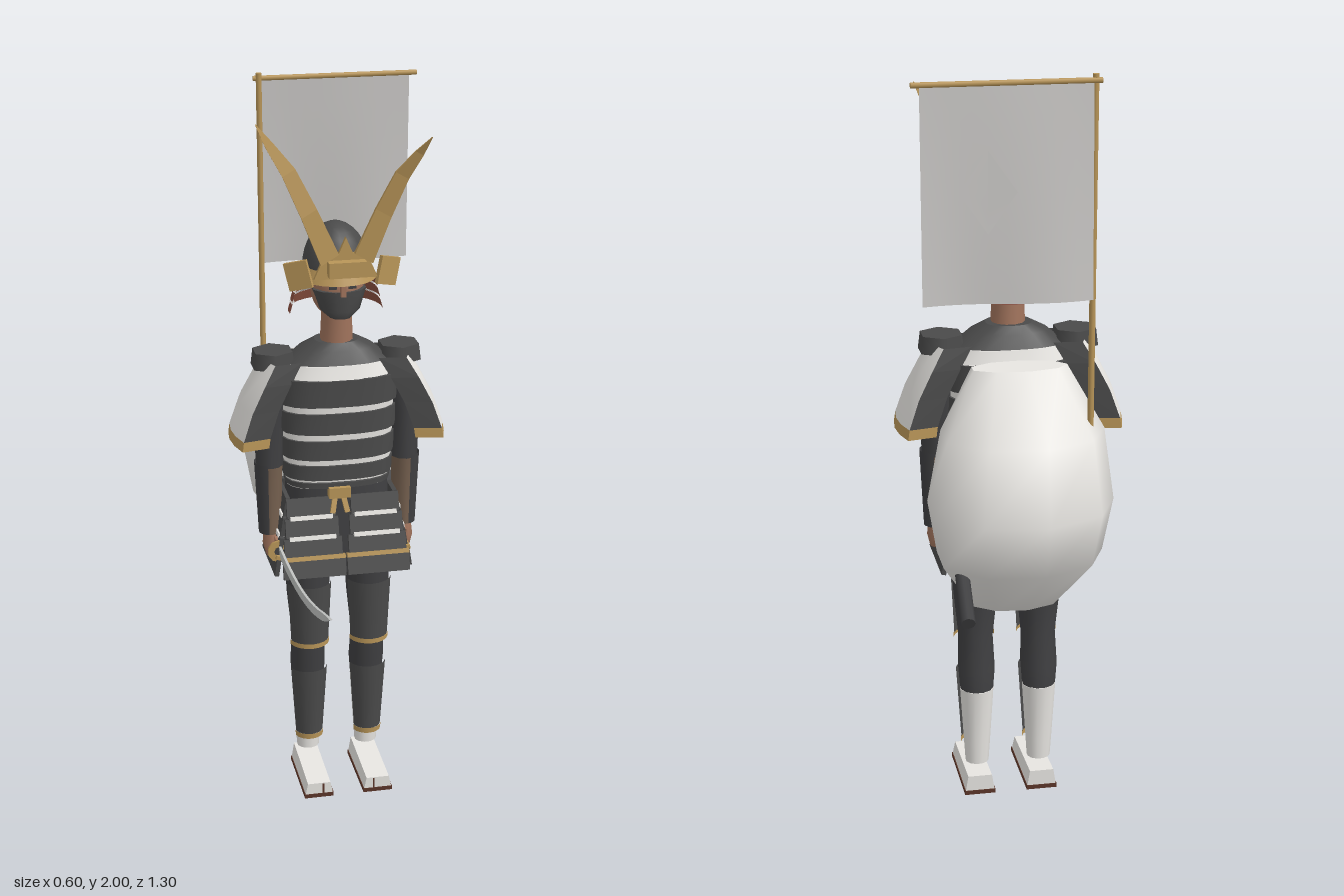
import * as THREE from 'three';

const mat = (name, color) => {
  const m = new THREE.MeshStandardMaterial({ color, side: THREE.DoubleSide });
  m.name = name;
  return m;
};

export function createModel() {
  const armour = mat('dark armour', 0x4a4a4a);
  const cloth = mat('dark cloth', 0x404042);
  const white = mat('white cloth', 0xe8e6e2);
  const gold = mat('old gold', 0xb89558);
  const skin = mat('skin', 0xa0735c);
  const brown = mat('red brown lacquer', 0x8a5040);
  const sole = mat('sole brown', 0x5a3528);
  const steel = mat('steel', 0xc4c6c4);
  const sleeve = mat('sleeve brown', 0x75604f);
  const banner = mat('banner grey', 0xcac8c6);

  const root = new THREE.Group();
  const add = (name, geo, m, pos = [0, 0, 0], rot = [0, 0, 0], parent = root) => {
    const mesh = new THREE.Mesh(geo, m);
    mesh.name = name;
    mesh.position.set(...pos);
    mesh.rotation.set(...rot);
    parent.add(mesh);
    return mesh;
  };
  const box = (w, h, d, segments = 1) => new THREE.BoxGeometry(w, h, d, 1, 1, segments);

  const buildGeo = (pos, idx, flat) => {
    let g = new THREE.BufferGeometry();
    g.setAttribute('position', new THREE.Float32BufferAttribute(pos, 3));
    g.setIndex(idx);
    if (flat) g = g.toNonIndexed();
    g.computeVertexNormals();
    return g;
  };

  // Closed rings from bottom to top: [y, halfWidth, halfDepth, x, z]; e < 1 squares them off
  const loft = (rings, n = 12, e = 1) => {
    const pos = [], idx = [];
    const pw = (v) => Math.sign(v) * Math.abs(v) ** e;
    const ring = ([y, a, b, x, z]) => {
      for (let i = 0; i < n; i++) {
        const t = ((i + 0.5) / n) * Math.PI * 2;
        pos.push(x + a * pw(Math.cos(t)), y, z + b * pw(Math.sin(t)));
      }
    };
    rings.forEach(ring);
    for (let j = 0; j < rings.length - 1; j++) for (let i = 0; i < n; i++) {
      const a = j * n + i, b = j * n + (i + 1) % n, c = a + n, d = b + n;
      idx.push(a, c, b, b, c, d);
    }
    [rings[0], rings[rings.length - 1]].forEach((r, k) => {
      const s = pos.length / 3;
      ring(r);
      pos.push(r[3], r[0], r[4]);
      for (let i = 0; i < n; i++) {
        const p = s + i, q = s + (i + 1) % n;
        if (k) idx.push(p, s + n, q);
        else idx.push(p, q, s + n);
      }
    });
    return buildGeo(pos, idx, false);
  };

  // Open sheet from rows of points
  const patch = (rows, flat = false) => {
    const n = rows[0].length, idx = [];
    for (let j = 0; j < rows.length - 1; j++) for (let i = 0; i < n - 1; i++) {
      const a = j * n + i;
      idx.push(a, a + n, a + 1, a + 1, a + n, a + n + 1);
    }
    return buildGeo(rows.flat(2), idx, flat);
  };

  // Straight rod between two points
  const rod = (name, a, b, r, m) => {
    const A = new THREE.Vector3(...a), B = new THREE.Vector3(...b), d = B.clone().sub(A);
    const mesh = add(name, new THREE.CylinderGeometry(r, r, d.length(), 8), m);
    mesh.position.copy(A).add(B).multiplyScalar(0.5);
    mesh.quaternion.setFromUnitVectors(new THREE.Vector3(0, 1, 0), d.normalize());
  };

  // Cuirass: dark lames with white lacing between them
  const Z = -0.165;
  add('cuirassCore', loft([[0.92, 0.143, 0.08, 0, Z], [1.0, 0.152, 0.09, 0, Z], [1.24, 0.163, 0.1, 0, Z]], 20, 0.75), white);
  [[0.925, 0.94, 0.146], [0.95, 0.992, 0.153], [1.01, 1.065, 0.158], [1.085, 1.145, 0.163], [1.165, 1.24, 0.168]].forEach(([a, b, w]) =>
    add('cuirassLame', loft([[a, w, w * 0.63, 0, Z], [b, w + 0.002, w * 0.63, 0, Z]], 20, 0.75), armour));
  add('upperChest', loft([[1.235, 0.162, 0.098, 0, Z], [1.275, 0.145, 0.085, 0, Z]], 20, 0.75), white);
  add('shoulderYoke', loft([[1.265, 0.155, 0.086, 0, Z], [1.31, 0.1, 0.065, 0, Z], [1.33, 0.06, 0.05, 0, Z]], 20, 0.8), armour);
  add('hips', loft([[0.66, 0.135, 0.075, 0, Z], [0.78, 0.15, 0.085, 0, Z], [0.93, 0.142, 0.08, 0, Z]], 16, 0.8), cloth);
  add('beltKnot', box(0.06, 0.03, 0.03), gold, [-0.01, 0.915, -0.075]);
  for (const s of [1, -1]) add('beltTail', box(0.014, 0.06, 0.01), gold, [-0.01 + s * 0.015, 0.885, -0.07], [-0.3, 0, s * 0.2]);

  // Skirt panels, each a stack of lames
  const skirtPanel = (x, y, z, turn, tilt, w0, w1) => {
    const outer = new THREE.Group(), inner = new THREE.Group();
    outer.name = 'skirtPanel';
    outer.position.set(x, y, z);
    outer.rotation.y = turn;
    inner.rotation.x = -tilt;
    outer.add(inner);
    root.add(outer);
    for (let i = 0; i < 4; i++) {
      const w = w0 + (w1 - w0) * (i / 3);
      add('lame', box(w, 0.054, 0.012), armour, [0, -0.028 - i * 0.056, i * 0.002], [0, 0, 0], inner);
      if (i) add('lacing', box(i === 3 ? w : w * 0.8, 0.012, 0.018), i === 3 ? gold : white, [0, -i * 0.056, i * 0.002], [0, 0, 0], inner);
    }
  };
  for (const s of [1, -1]) {
    skirtPanel(s * 0.09, 0.9, -0.085, 0, 0.3, 0.135, 0.175);
    skirtPanel(s * 0.15, 0.9, Z, s * Math.PI / 2, 0.15, 0.15, 0.21);
    skirtPanel(s * 0.082, 0.9, -0.245, Math.PI, 0.17, 0.135, 0.16);
  }

  for (const s of [1, -1]) {
    // Legs with thigh and shin guards
    const X = s * 0.086;
    add('leg', loft([[0.28, 0.044, 0.042, X, -0.168], [0.36, 0.05, 0.048, X, -0.165], [0.45, 0.047, 0.046, X, -0.15],
      [0.58, 0.06, 0.057, X, -0.152], [0.7, 0.066, 0.066, X, -0.155]]), cloth);
    add('legging', loft([[0.08, 0.032, 0.03, X, -0.17], [0.14, 0.036, 0.034, X, -0.17], [0.3, 0.046, 0.045, X, -0.168]]), white);
    const guard = (name, y, h, r0, r1, z, m) =>
      add(name, new THREE.CylinderGeometry(r0, r1, h, 8, 1, true, -1.35, 2.7), m, [X, y, z]);
    guard('thighGuard', 0.535, 0.18, 0.064, 0.055, -0.138, armour);
    guard('thighTrim', 0.441, 0.014, 0.057, 0.057, -0.138, gold);
    guard('shinGuard', 0.245, 0.21, 0.054, 0.04, -0.154, armour);
    guard('shinTrim', 0.133, 0.016, 0.042, 0.041, -0.154, gold);

    // Shoes: wedge with a split toe on a brown sole
    const shoe = box(0.08, 0.04, 0.225), p = shoe.attributes.position;
    for (let i = 0; i < p.count; i++) if (p.getY(i) > 0) {
      p.setX(i, p.getX(i) * 0.82);
      p.setY(i, p.getZ(i) > 0 ? 0.014 : 0.024);
    }
    shoe.computeVertexNormals();
    add('shoe', shoe, white, [X, 0.031, -0.108]);
    add('shoeSole', box(0.084, 0.012, 0.228), sole, [X, 0.006, -0.108]);
    add('toeSplit', box(0.005, 0.03, 0.006), sole, [X - s * 0.012, 0.028, 0.003]);

    // Arms
    const AX = s * 0.19;
    add('upperArm', loft([[0.98, 0.037, 0.042, AX, -0.155], [1.12, 0.044, 0.05, AX, -0.16], [1.27, 0.04, 0.05, s * 0.17, -0.16]], 10), cloth);
    add('forearm', loft([[0.78, 0.026, 0.03, AX, -0.15], [0.9, 0.034, 0.036, AX, -0.155], [0.99, 0.036, 0.04, AX, -0.155]], 10), sleeve);
    add('armGuard', new THREE.CylinderGeometry(0.043, 0.033, 0.21, 8, 1, true, s > 0 ? 0.25 : Math.PI + 0.25, Math.PI - 0.5), cloth, [AX, 0.885, -0.153]);
    add('hand', loft([[0.715, 0.016, 0.022, AX, -0.14], [0.745, 0.024, 0.034, AX, -0.145], [0.79, 0.02, 0.026, AX, -0.15]], 8), skin);
    add('thumb', box(0.016, 0.05, 0.018), skin, [AX - s * 0.012, 0.755, -0.108], [0.3, 0, 0]);

    // Shoulder shield: white outer face, dark front and back faces, gold hem
    const prof = [[1.285, 0.19, 0.075], [1.23, 0.222, 0.09], [1.16, 0.258, 0.1], [1.085, 0.284, 0.108], [1.058, 0.288, 0.11]];
    const outerRow = ([y, x, d]) => [-1, -0.5, 0, 0.5, 1].map((k) => [s * (x + 0.01 - 0.02 * k * k), y, Z + k * d]);
    const sideRow = (k, [y, x, d]) => [[s * (x - 0.01), y, Z + k * d], [s * (x - 0.085), y, Z + k * d * 0.85]];
    add('shoulderShield', patch(prof.slice(0, 4).map(outerRow)), white);
    add('shoulderShieldHem', patch(prof.slice(3).map(outerRow)), gold);
    for (const k of [1, -1]) {
      add('shoulderShieldSide', patch(prof.slice(0, 4).map((r) => sideRow(k, r)), true), armour);
      add('shoulderShieldSideHem', patch(prof.slice(3).map((r) => sideRow(k, r)), true), gold);
    }
    add('shoulderCap', new THREE.CylinderGeometry(0.058, 0.064, 0.045, 6), armour, [s * 0.175, 1.284, Z]);

    // Helmet ear flaps and horns
    add('earFlap', box(0.065, 0.075, 0.012), gold, [s * 0.12, 1.54, -0.065], [0, s * 0.5, s * -0.25]);
    const tip = s > 0 ? 0.05 : -0.19, base = -0.02;
    const path = [[0.045, 1.59, 0.028], [0.095, 1.71, 0.024], [0.14, 1.81, 0.02], [0.18, 1.87, 0.012], [0.207, 1.915, 0.001]];
    const rows = path.map(([x, y, w], i) => {
      const z = base + (tip - base) * (i / 4) ** 1.5, t = 0.007 * (1 - i / 5);
      return [[w, t], [w, -t], [-w, -t], [-w, t], [w, t]].map(([a, b]) => [s * (x + a * 0.85), y - a * 0.5, z + b]);
    });
    add('horn', patch(rows, true), gold);
    add('eye', box(0.02, 0.007, 0.006), cloth, [s * 0.026, 1.497, -0.072]);
  }

  // Head, face mask and helmet
  add('neck', loft([[1.3, 0.046, 0.046, 0, -0.16], [1.43, 0.04, 0.042, 0, -0.155]]), skin);
  add('head', new THREE.SphereGeometry(0.085, 16, 12).scale(0.85, 1.1, 1), skin, [0, 1.485, -0.155]);
  add('faceMask', loft([[1.408, 0.03, 0.03, 0, -0.105], [1.43, 0.055, 0.05, 0, -0.115], [1.485, 0.074, 0.062, 0, -0.125]]), armour);
  add('nose', box(0.014, 0.03, 0.016), skin, [0, 1.49, -0.064]);
  add('helmetBowl', new THREE.SphereGeometry(0.095, 16, 8, 0, Math.PI * 2, 0, Math.PI / 2).scale(0.95, 1.35, 1), armour, [0, 1.525, -0.172]);
  add('helmetBrow', new THREE.CylinderGeometry(0.09, 0.105, 0.035, 10, 1, true, -1.5, 3), gold, [0, 1.525, -0.15]);
  for (let i = 0; i < 4; i++) {
    const tier = (name, y, h, r, m) => add(name, new THREE.CylinderGeometry(r, r + 0.008, h, 14, 1, true, 1.45, 3.4), m, [0, y, -0.17]);
    tier('neckGuardTier', 1.515 - i * 0.031, 0.027, 0.1 + i * 0.007, brown);
    if (i < 3) tier('neckGuardLacing', 1.5 - i * 0.031, 0.007, 0.102 + i * 0.007, white);
  }
  const crest = new THREE.Shape([[-0.085, 1.535], [0.085, 1.535], [0.065, 1.58], [0.055, 1.625], [0.02, 1.6], [0, 1.645], [-0.02, 1.6], [-0.055, 1.625], [-0.065, 1.58]]
    .map(([x, y]) => new THREE.Vector2(x, y)));
  add('helmetCrest', new THREE.ExtrudeGeometry(crest, { depth: 0.012, bevelEnabled: false }), gold, [0, 0, -0.04]);
  add('crestMount', box(0.1, 0.04, 0.1), gold, [0, 1.565, -0.05]);

  // Billowing cloak on the back
  add('billowCloak', loft([[0.64, 0.12, 0.075, 0.02, -0.365], [0.79, 0.215, 0.165, 0.02, -0.425], [0.93, 0.24, 0.185, 0.02, -0.435],
    [1.11, 0.21, 0.155, 0.01, -0.405], [1.25, 0.125, 0.05, 0, -0.305]], 9), white);

  // Banner on its pole
  rod('bannerPole', [-0.155, 1.1, -0.445], [-0.155, 2, -0.445], 0.008, gold);
  rod('bannerCrossbar', [-0.17, 1.985, -0.45], [0.285, 1.985, -0.45], 0.007, gold);
  const flagZ = (x, y) => {
    const d = (1.985 - y) / 0.525;
    return -0.452 - d * (0.02 + 0.013 * Math.cos((x + 0.05) * 14));
  };
  const flagRows = [];
  for (let j = 0; j <= 8; j++) flagRows.push(Array.from({ length: 11 }, (_, i) => {
    const x = -0.15 + i * 0.0415, y = 1.985 - j * 0.0656;
    return [x, y, flagZ(x, y)];
  }));
  add('bannerCloth', patch(flagRows), banner);
  const diamond = [[0, 0.1], [0.07, 0], [0, -0.1], [-0.07, 0], [0, 0.1]];
  const diamondRow = (k) => diamond.map(([a, b]) => {
    const x = 0.105 + a * k, y = 1.73 + b * k;
    return [x, y, flagZ(x, y) - 0.003];
  });
  add('bannerDiamond', patch([diamondRow(1), diamondRow(0.5), diamondRow(0.02)]), banner);

  // Scabbard at the left hip, drawn sword in the right hand
  rod('scabbard', [0.155, 0.91, -0.17], [0.187, 0.708, -0.64], 0.018, cloth);
  const blade = box(0.007, 0.034, 0.72, 14), bp = blade.attributes.position;
  for (let i = 0; i < bp.count; i++) {
    const t = THREE.MathUtils.clamp(bp.getZ(i) / 0.72 + 0.5, 0, 1), side = bp.getY(i);
    const taper = (1 - 0.35 * t) * THREE.MathUtils.clamp((1 - t) * 10, 0.05, 1);
    bp.setY(i, side * taper + 0.75 + 0.14 * t ** 2.2);
    if (side < 0) bp.setX(i, bp.getX(i) * 0.3);
  }
  blade.computeVertexNormals();
  add('swordBlade', blade, steel, [-0.178, 0, 0.292]);
  add('swordGuard', new THREE.CylinderGeometry(0.032, 0.032, 0.008, 10), gold, [-0.18, 0.75, -0.075], [Math.PI / 2, 0, 0]);
  rod('swordGrip', [-0.18, 0.75, -0.07], [-0.18, 0.745, -0.27], 0.014, cloth);
  return root;
}
